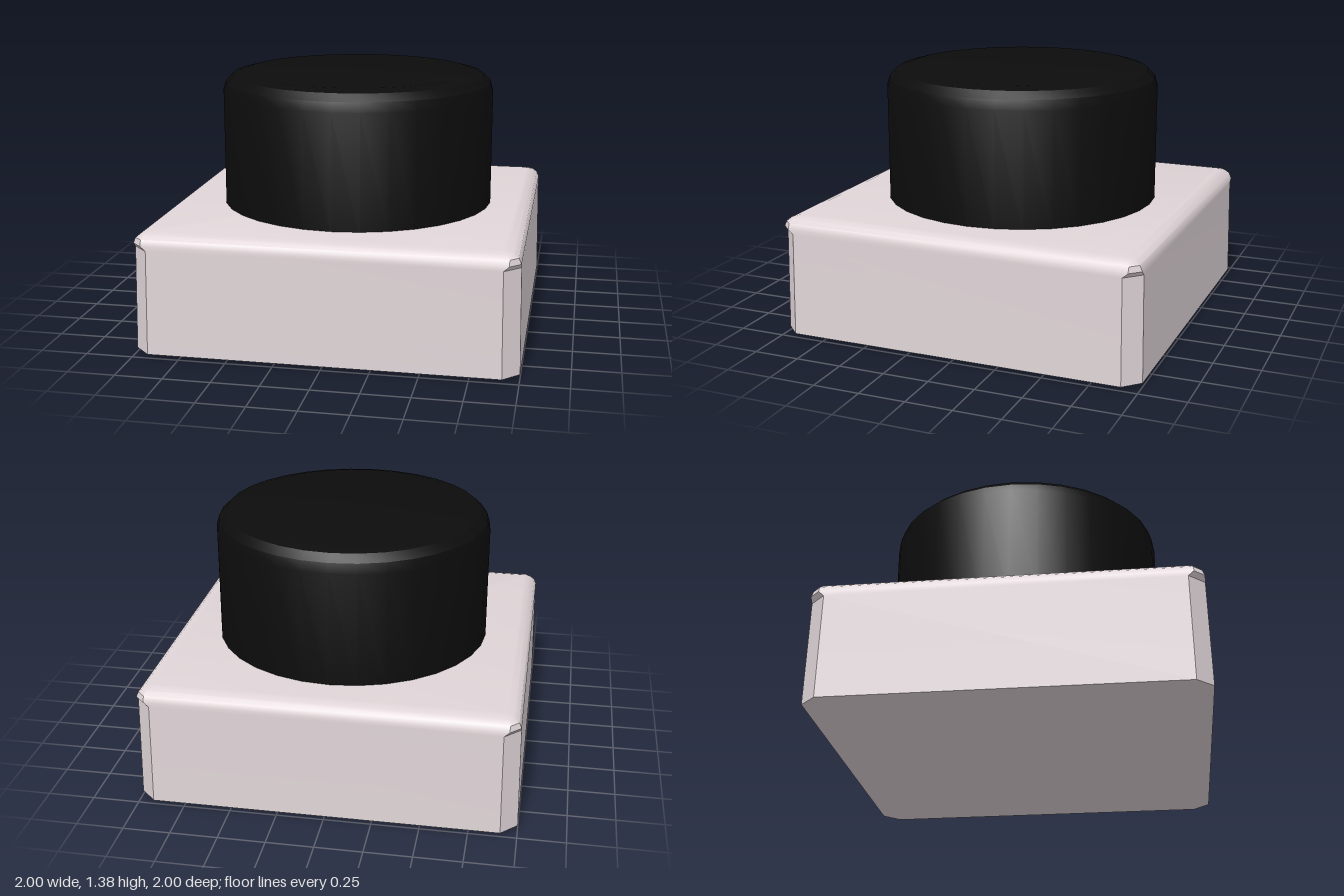
import * as THREE from 'three';
import { toCreasedNormals } from 'three/addons/utils/BufferGeometryUtils.js';

// Square outline with cut corners: h = half width, c = where each corner cut starts
const outline = (y, h, c) => [
  [h, -c], [h, c], [c, h], [-c, h], [-h, c], [-h, -c], [-c, -h], [c, -h],
].map(([x, z]) => [x, y, z]);

// Skin a stack of outlines from bottom to top and close both ends
function loft(sections) {
  const rings = sections.map((s) => outline(...s));
  const pos = [];
  const tri = (a, b, c) => pos.push(...a, ...b, ...c);
  for (let r = 0; r < rings.length - 1; r++) {
    const lo = rings[r], hi = rings[r + 1];
    for (let i = 0; i < 8; i++) {
      const j = (i + 1) % 8;
      tri(lo[i], hi[i], hi[j]);
      tri(lo[i], hi[j], lo[j]);
    }
  }
  const first = rings[0], last = rings[rings.length - 1];
  for (let i = 1; i < 7; i++) {
    tri(first[0], first[i], first[i + 1]);
    tri(last[0], last[i + 1], last[i]);
  }
  const g = new THREE.BufferGeometry();
  g.setAttribute('position', new THREE.Float32BufferAttribute(pos, 3));
  return toCreasedNormals(g, 0.55);
}

export function createModel() {
  const model = new THREE.Group();

  // Square base: shallow domed underside, cut corners, rounded top rim
  const base = new THREE.Mesh(
    loft([
      [0, 0.55, 0.5],
      [0.02, 1, 0.915],
      [0.575, 0.99, 0.907],
      [0.6, 0.99, 0.935],
      [0.63, 0.977, 0.935],
      [0.65, 0.953, 0.925],
      [0.66, 0.915, 0.895],
    ]),
    new THREE.MeshStandardMaterial({ color: 0xe0d5d8 }),
  );
  base.name = 'base';
  model.add(base);

  // Round button with a softened top edge
  const profile = [
    [0, 0.62], [0.75, 0.62], [0.75, 1.28], [0.735, 1.33],
    [0.695, 1.368], [0.63, 1.385], [0, 1.385],
  ].map(([x, y]) => new THREE.Vector2(x, y));
  const button = new THREE.Mesh(
    toCreasedNormals(new THREE.LatheGeometry(profile, 32), 0.5),
    new THREE.MeshStandardMaterial({ color: 0x0c0c0c }),
  );
  button.name = 'button';
  button.position.x = 0.01;
  model.add(button);

  return model;
}
